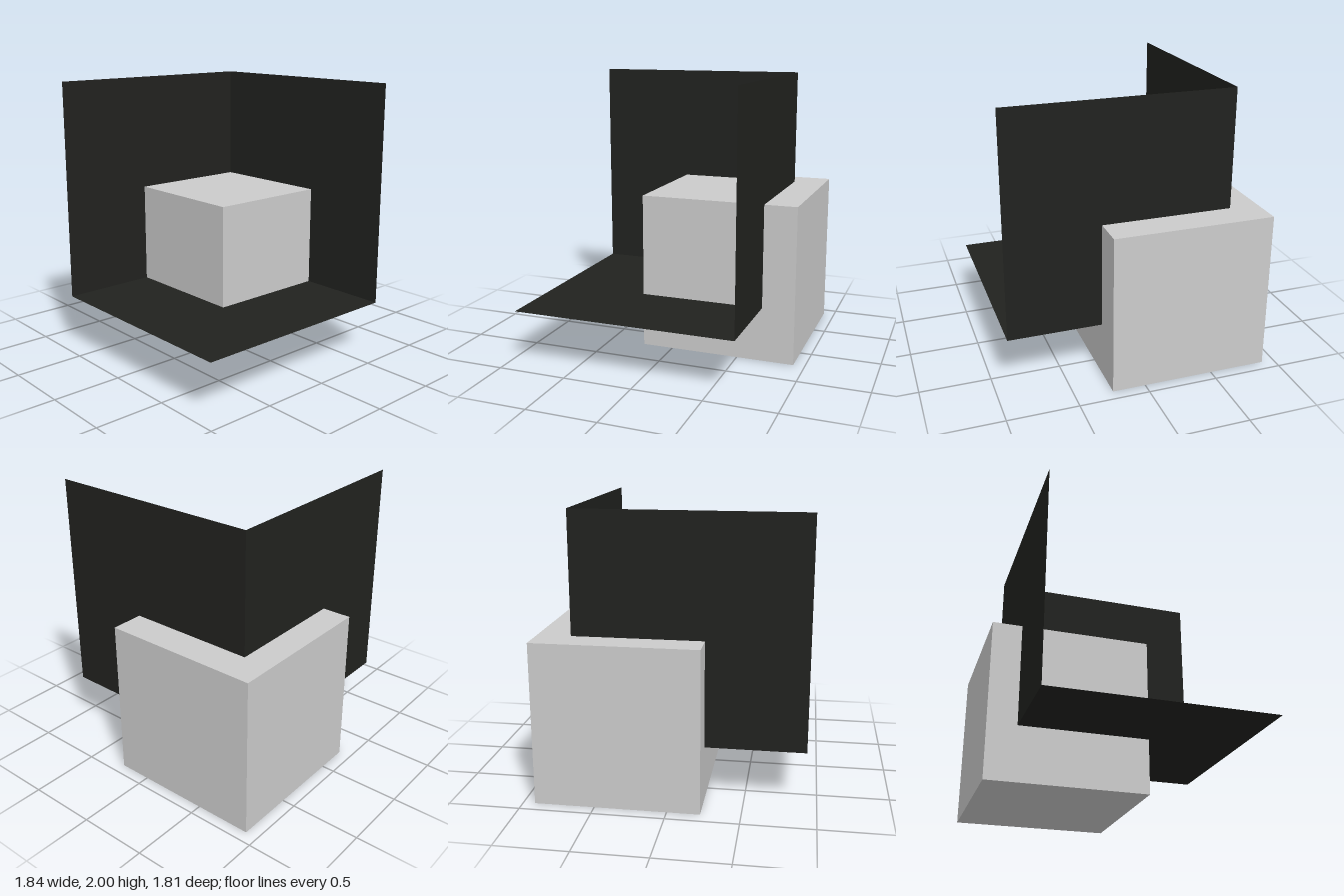
import * as THREE from 'three';

export function createModel() {
  const model = new THREE.Group();
  const grey = new THREE.MeshStandardMaterial({ color: 0xcccccc });
  const dark = new THREE.MeshStandardMaterial({ color: 0x21221f, side: THREE.DoubleSide });

  function add(name, geometry, material, x, y, z) {
    const mesh = new THREE.Mesh(geometry, material);
    mesh.name = name;
    mesh.position.set(x, y, z);
    model.add(mesh);
    return mesh;
  }

  // Solid cube, pierced by the corner where the three sheets meet
  add('cube', new THREE.BoxGeometry(1.145, 1.145, 1.145), grey, 0.345, 0.5725, -0.336);

  // Three thin square sheets, mutually perpendicular, sharing one corner
  const size = 1.604;
  const corner = new THREE.Vector3(0.682, 0.396, -0.698);
  const h = size / 2;
  const sheet = new THREE.PlaneGeometry(size, size);
  add('backSheet', sheet, dark, corner.x - h, corner.y + h, corner.z);
  add('sideSheet', sheet, dark, corner.x, corner.y + h, corner.z + h).rotation.y = Math.PI / 2;
  add('floorSheet', sheet, dark, corner.x - h, corner.y, corner.z + h).rotation.x = -Math.PI / 2;

  return model;
}
